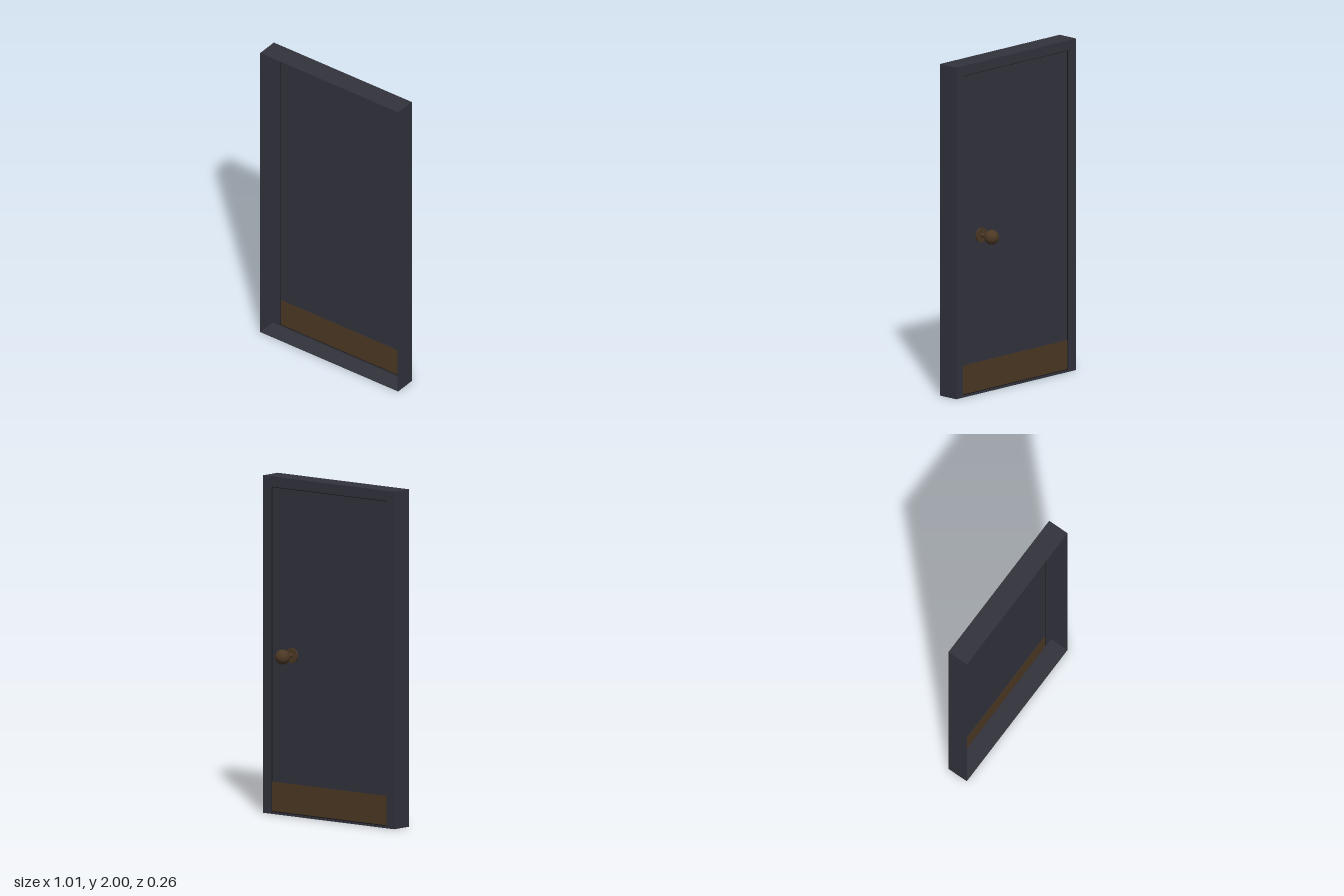
import * as THREE from 'three';

export function createModel() {
  const model = new THREE.Group();
  const slate = new THREE.MeshStandardMaterial({ name: 'slate paint', color: 0x32323c });
  const bronze = new THREE.MeshStandardMaterial({ name: 'aged bronze', color: 0x4c3824 });
  const shadowGap = new THREE.MeshStandardMaterial({ name: 'dark gap', color: 0x17171b });

  const W = 1.01, H = 2, BACK = -0.005, FRONT = 0.128, T = 0.003;
  const inX = 0.447, inTop = 1.94, inBottom = 0.01, gap = 0.006;

  const add = (name, geometry, material, x = 0, y = 0, z = 0) => {
    const mesh = new THREE.Mesh(geometry, material);
    mesh.name = name;
    mesh.position.set(x, y, z);
    model.add(mesh);
    return mesh;
  };
  const box = (name, material, x0, x1, y0, y1, z0, z1) =>
    add(name, new THREE.BoxGeometry(x1 - x0, y1 - y0, z1 - z0), material,
      (x0 + x1) / 2, (y0 + y1) / 2, (z0 + z1) / 2);
  const rect = (Target, x, y0, y1) => new Target([
    new THREE.Vector2(-x, y0), new THREE.Vector2(x, y0),
    new THREE.Vector2(x, y1), new THREE.Vector2(-x, y1),
  ]);
  const ring = (name, material, outer, inner, depth, z) => {
    const shape = rect(THREE.Shape, ...outer);
    shape.holes.push(rect(THREE.Path, ...inner));
    return add(name, new THREE.ExtrudeGeometry(shape, { depth, bevelEnabled: false }), material, 0, 0, z);
  };

  // Thin lining around the deep opening, open towards the front
  for (const [side, s] of [['left', 1], ['right', -1]]) {
    const a = s * W / 2, b = s * (W / 2 - T);
    box(side + 'JambLining', slate, Math.min(a, b), Math.max(a, b), 0, H, BACK, FRONT);
  }
  box('headLining', slate, -W / 2 + T, W / 2 - T, H - T, H, BACK, FRONT);
  box('sill', slate, -W / 2 + T, W / 2 - T, 0, T, BACK, FRONT);

  // Frame border at the back and the narrow gap around the leaf
  ring('frameBorder', slate, [W / 2 - T, T, H - T], [inX, inBottom, inTop], 0.015, BACK);
  ring('leafGap', shadowGap, [inX, inBottom, inTop],
    [inX - gap, inBottom + gap, inTop - gap], 0.004, 0.005);

  // Door leaf with a kick plate on each face
  const leafX = inX - gap;
  box('doorLeaf', slate, -leafX, leafX, inBottom + gap, inTop - gap, 0.005, 0.01);
  box('frontKickPlate', bronze, -leafX, leafX, inBottom + gap, 0.19, 0.01, 0.012);
  box('backKickPlate', bronze, -leafX, leafX, inBottom + gap, 0.19, 0.003, 0.005);

  // Knob on the back: rosette, stem and ball
  const kx = 0.288, ky = 0.953;
  const round = (name, radius, z0, z1) => {
    const mesh = add(name, new THREE.CylinderGeometry(radius, radius, z1 - z0, 32), bronze, kx, ky, (z0 + z1) / 2);
    mesh.rotation.x = Math.PI / 2;
  };
  round('knobRosette', 0.044, -0.004, 0.006);
  round('knobStem', 0.013, -0.06, 0.0);
  add('knobBall', new THREE.SphereGeometry(0.044, 32, 20), bronze, kx, ky, -0.084);

  return model;
}
